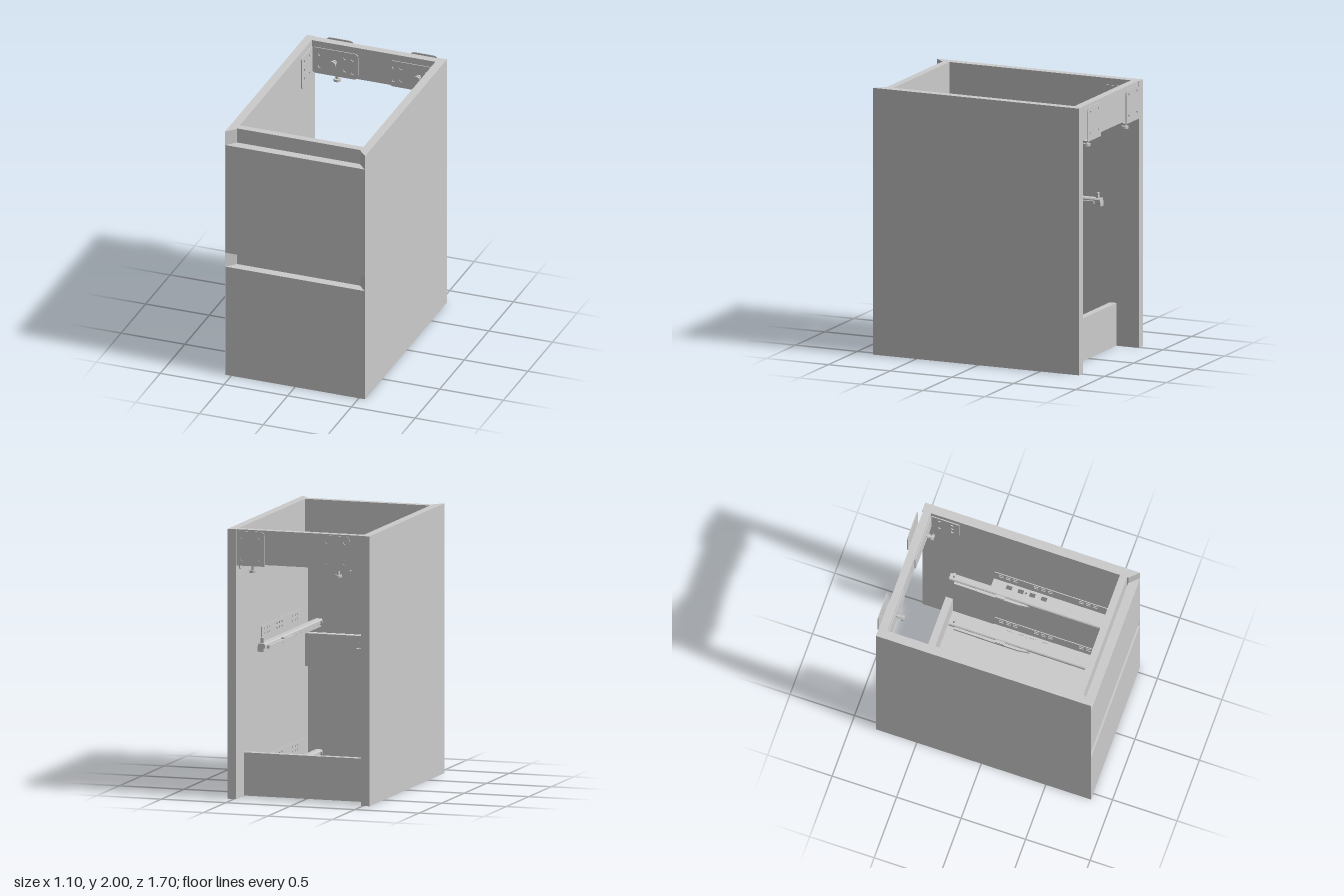
import * as THREE from 'three';

const grey = new THREE.MeshStandardMaterial({ color: 0xcccccc, side: THREE.DoubleSide });

function add(parent, name, geometry, x = 0, y = 0, z = 0) {
  const mesh = new THREE.Mesh(geometry, grey);
  mesh.name = name;
  mesh.position.set(x, y, z);
  parent.add(mesh);
  return mesh;
}

// Box given by its limits on each axis
function block(parent, name, x0, x1, y0, y1, z0, z1) {
  const g = new THREE.BoxGeometry(Math.abs(x1 - x0), y1 - y0, z1 - z0);
  return add(parent, name, g, (x0 + x1) / 2, (y0 + y1) / 2, (z0 + z1) / 2);
}

const polygon = (pts) => new THREE.Shape(pts.map(([a, b]) => new THREE.Vector2(a, b)));
const extrude = (shape, depth) =>
  new THREE.ExtrudeGeometry(shape, { depth, bevelEnabled: false, curveSegments: 6 });

// Outline drawn in plan as [x, z], extruded upwards
const plan = (pts, depth) =>
  extrude(polygon(pts.map(([x, z]) => [x, -z])), depth).rotateX(-Math.PI / 2);

// Rectangle with rounded corners: lower pair radius rb, upper pair radius rt
function roundedRect(x0, x1, y0, y1, rb, rt) {
  const s = new THREE.Shape();
  s.moveTo(x0 + rb, y0);
  s.lineTo(x1 - rb, y0);
  s.quadraticCurveTo(x1, y0, x1, y0 + rb);
  s.lineTo(x1, y1 - rt);
  s.quadraticCurveTo(x1, y1, x1 - rt, y1);
  s.lineTo(x0 + rt, y1);
  s.quadraticCurveTo(x0, y1, x0, y1 - rt);
  s.lineTo(x0, y0 + rb);
  s.quadraticCurveTo(x0, y0, x0 + rb, y0);
  return s;
}

function drill(shape, centres, r) {
  for (const [x, y] of centres) {
    shape.holes.push(new THREE.Path().absarc(x, y, r, 0, Math.PI * 2, true));
  }
  return shape;
}

function slot(shape, x0, x1, y0, y1) {
  shape.holes.push(new THREE.Path([[x0, y0], [x0, y1], [x1, y1], [x1, y0]].map((p) => new THREE.Vector2(...p))));
}

// Drawer runner on side s (+1 or -1), with its underside at height y
function runner(parent, s, y) {
  const g = new THREE.Group();
  g.name = 'drawerRunner';
  parent.add(g);

  // perforated plate against the side panel
  const wall = roundedRect(-0.26, 0.715, y, y + 0.14, 0.005, 0.01);
  for (const z of [-0.22, 0.05, 0.4]) {
    for (let row = 0; row < 2; row++) {
      for (let i = 0; i < 3; i++) {
        const a = z + i * 0.055;
        slot(wall, a, a + 0.035, y + 0.07 + row * 0.035, y + 0.085 + row * 0.035);
      }
    }
  }
  add(g, 'runnerWallPlate', extrude(wall, 0.006).rotateY(-Math.PI / 2), s > 0 ? 0.485 : -0.479);

  // bottom flange with fixing slots
  const flange = polygon([[s * 0.4, -0.715], [s * 0.48, -0.715], [s * 0.48, 0.26], [s * 0.4, 0.26]]);
  for (const z of [-0.13, -0.04, 0.05, 0.14]) slot(flange, s * 0.445 - 0.015, s * 0.445 + 0.015, -z - 0.022, -z + 0.022);
  drill(flange, [[s * 0.445, 0]], 0.008);
  add(g, 'runnerFlange', extrude(flange, 0.006).rotateX(-Math.PI / 2), 0, y, 0);

  // sliding rail: stepped section swept from front to back
  const section = [[0.405, 0], [0.405, 0.035], [0.398, 0.06], [0.355, 0.06], [0.348, 0.05],
    [0.348, 0.028], [0.36, 0.022], [0.36, 0]];
  add(g, 'runnerRail', extrude(polygon(section.map(([x, h]) => [s * x, y + h])), 1.28), 0, 0, -0.565);

  // rear hook, side lever and front catch
  block(g, 'runnerHook', s * 0.368, s * 0.392, y + 0.06, y + 0.1, -0.54, -0.525);
  add(g, 'runnerLever', plan([[s * 0.35, -0.52], [s * 0.33, -0.52], [s * 0.327, -0.2], [s * 0.327, -0.02],
    [s * 0.338, 0.065], [s * 0.35, 0.03]], 0.022), 0, y + 0.02, 0);
  block(g, 'runnerLeverGrip', s * 0.328, s * 0.35, y + 0.015, y + 0.055, -0.2, -0.13);
  add(g, 'runnerCatch', plan([[s * 0.35, 0.665], [s * 0.337, 0.665], [s * 0.35, 0.69]], 0.03), 0, y + 0.02, 0);
}

// Hanging fittings at the back: s is the side, x the centre line of the bolts
function hanger(parent, s, x) {
  const g = new THREE.Group();
  g.name = 'wallHanger';
  parent.add(g);

  // outer wall plate standing off the rail, with a flange below
  const outer = drill(roundedRect(x - 0.11, x + 0.11, 1.74, 1.995, 0.004, 0.04),
    [[x - 0.07, 1.79], [x + 0.07, 1.79], [x - 0.07, 1.95], [x + 0.07, 1.95]], 0.013);
  add(g, 'hangerWallPlate', extrude(outer, 0.006), 0, 0, -0.852);
  block(g, 'hangerWallFlange', x - 0.11, x + 0.11, 1.738, 1.744, -0.852, -0.81);

  // inner plate on the back rail
  const near = Math.min(s * 0.485, s * 0.12);
  const far = Math.max(s * 0.485, s * 0.12);
  const inner = drill(roundedRect(near, far, 1.74, 1.95, 0.04, 0.03),
    [[s * 0.16, 1.9], [s * 0.16, 1.79], [s * 0.22, 1.9], [s * 0.42, 1.9], [s * 0.42, 1.8], [s * 0.22, 1.8]], 0.014);
  add(g, 'hangerRailPlate', extrude(inner, 0.007), 0, 0, -0.75);

  // plate on the side panel
  const side = drill(roundedRect(-0.75, -0.53, 1.69, 1.95, 0.04, 0.01),
    [[-0.68, 1.9], [-0.58, 1.9], [-0.58, 1.83], [-0.58, 1.76], [-0.68, 1.76]], 0.014);
  add(g, 'hangerSidePlate', extrude(side, 0.007).rotateY(-Math.PI / 2), s > 0 ? 0.485 : -0.478);

  // adjusting bolts, one facing forward and one hanging below
  add(g, 'depthBoltShank', new THREE.CylinderGeometry(0.012, 0.012, 0.06, 12).rotateX(Math.PI / 2), x, 1.86, -0.72);
  add(g, 'depthBoltCollar', new THREE.CylinderGeometry(0.02, 0.02, 0.012, 12).rotateX(Math.PI / 2), x, 1.86, -0.722);
  add(g, 'depthBoltHead', new THREE.CylinderGeometry(0.028, 0.028, 0.018, 6).rotateX(Math.PI / 2), x, 1.86, -0.692);
  add(g, 'heightBoltShank', new THREE.CylinderGeometry(0.012, 0.012, 0.05, 12), x, 1.718, -0.79);
  add(g, 'heightBoltHead', new THREE.CylinderGeometry(0.027, 0.027, 0.018, 12), x, 1.69, -0.79);
}

export function createModel() {
  const model = new THREE.Group();
  model.name = 'drawerCabinet';

  // side panels, mitred at the front edge
  for (const s of [1, -1]) {
    add(model, s > 0 ? 'leftPanel' : 'rightPanel',
      plan([[s * 0.55, -0.817], [s * 0.55, 0.849], [s * 0.485, 0.78], [s * 0.485, -0.817]], 2));
  }

  // floor and cross rails
  block(model, 'floor', -0.485, 0.485, 0, 0.065, -0.635, 0.77);
  block(model, 'lowerBackRail', -0.485, 0.485, 0.065, 0.32, -0.635, -0.58);
  block(model, 'upperBackRail', -0.485, 0.485, 1.745, 2, -0.81, -0.75);
  block(model, 'topFrontRail', -0.485, 0.485, 1.75, 2, 0.715, 0.77);
  block(model, 'middleFrontRail', -0.485, 0.485, 0.76, 1.005, 0.715, 0.77);

  // drawer fronts with mitred ends, leaving a finger recess above each
  const front = [[-0.546, 0.85], [0.546, 0.85], [0.482, 0.78], [-0.482, 0.78]];
  add(model, 'lowerDrawerFront', plan(front, 0.89));
  add(model, 'upperDrawerFront', plan(front, 0.885), 0, 1.005, 0);

  for (const s of [1, -1]) {
    for (const y of [0.09, 1.06]) runner(model, s, y);
    hanger(model, s, s > 0 ? 0.36 : -0.3);
  }
  return model;
}
